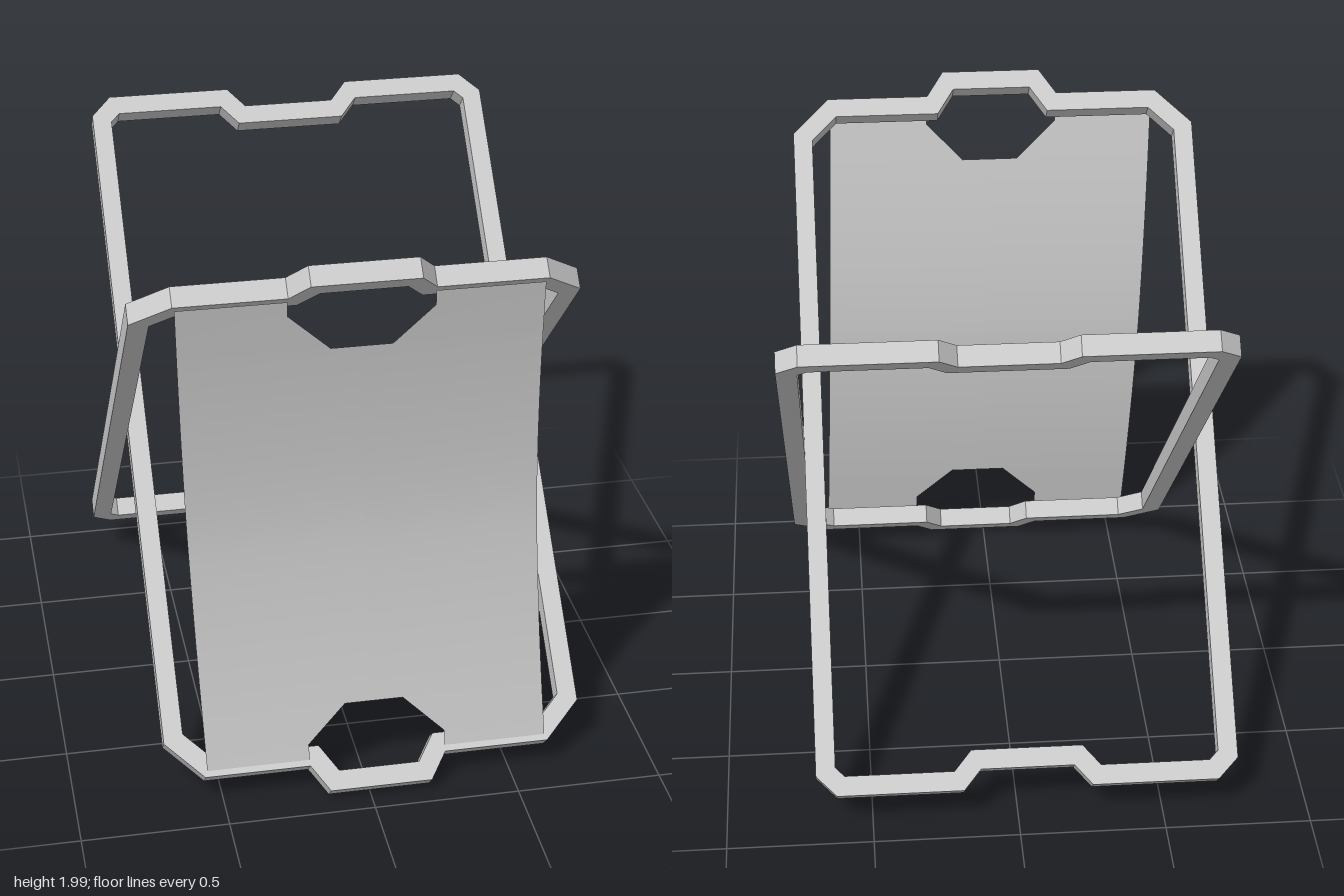
import * as THREE from 'three';

const BAR = 0.067, DEPTH = 0.07, PIVOT_Z = -0.05, SHIFT = 0.033;

const grey = () => new THREE.MeshStandardMaterial({ color: 0xcccccc, side: THREE.DoubleSide });

// Mitred inward offset of a counter-clockwise outline
function inset(points, d) {
  const n = points.length;
  return points.map((p, i) => {
    const a = p.clone().sub(points[(i + n - 1) % n]).normalize();
    const b = points[(i + 1) % n].clone().sub(p).normalize();
    const na = new THREE.Vector2(-a.y, a.x), nb = new THREE.Vector2(-b.y, b.x);
    return na.clone().add(nb).multiplyScalar(d / (1 + na.dot(nb))).add(p);
  });
}

// Flat loop frame: handle bulges out at the upper end, dips in at the lower end
function frameGeometry() {
  const half = [
    [0.16, -1.155], [0.22, -1.225], [0.6525, -1.225], [0.7225, -1.155],
    [0.7225, 1.155], [0.595, 1.283], [0.235, 1.283], [0.175, 1.375],
  ];
  const mirrored = half.map(([x, y]) => [-x, y]).reverse();
  const outline = [...half, ...mirrored].map(([x, y]) => new THREE.Vector2(x, y));
  const shape = new THREE.Shape(outline);
  shape.holes.push(new THREE.Path(inset(outline, BAR)));
  return new THREE.ExtrudeGeometry(shape, { depth: DEPTH, bevelEnabled: false })
    .translate(0, 0, -DEPTH / 2);
}

// Sagging sheet with a hand cut-out at both ends, built as left and right halves
function clothGeometry() {
  const reach = 0.865;
  const end = [[reach, 0.235], [0.81, 0.235], [0.675, 0.1]]; // height from middle, cut-out half width
  const rows = [...end];
  for (let i = 0; i <= 24; i++) rows.push([0.675 * (1 - i / 12), 0]);
  rows.push(...end.map(([t, h]) => [-t, h]).reverse());

  const pos = [], index = [];
  for (const [t, h] of rows) {
    const z = 0.762 + 0.108 * Math.pow(Math.abs(t) / reach, 1.7);
    const c = -SHIFT * t / reach;
    for (const x of [c - 0.587, c - h, c + h, c + 0.587]) pos.push(x, 1 + t, z);
  }
  for (let r = 0; r < rows.length - 1; r++) {
    for (const s of [0, 2]) {
      const a = r * 4 + s, b = a + 4;
      index.push(a, b, a + 1, a + 1, b, b + 1);
    }
  }
  const g = new THREE.BufferGeometry();
  g.setAttribute('position', new THREE.Float32BufferAttribute(pos, 3));
  g.setIndex(index);
  g.computeVertexNormals();
  return g;
}

export function createModel() {
  const model = new THREE.Group();
  model.name = 'foldingStand';
  const geometry = frameGeometry();

  // Two identical crossing frames, the second turned half round the z axis
  ['frontTopFrame', 'frontBottomFrame'].forEach((name, i) => {
    const holder = new THREE.Group();
    const frame = new THREE.Mesh(geometry, grey());
    frame.name = name;
    frame.rotation.x = Math.PI / 4;
    frame.position.set(-SHIFT, 0, PIVOT_Z);
    holder.name = name + 'Holder';
    holder.position.y = 1;
    holder.rotation.z = i * Math.PI;
    holder.add(frame);
    model.add(holder);
  });

  // Cloth stretched between the two front bars
  const cloth = new THREE.Mesh(clothGeometry(), grey());
  cloth.name = 'clothSling';
  model.add(cloth);
  return model;
}
